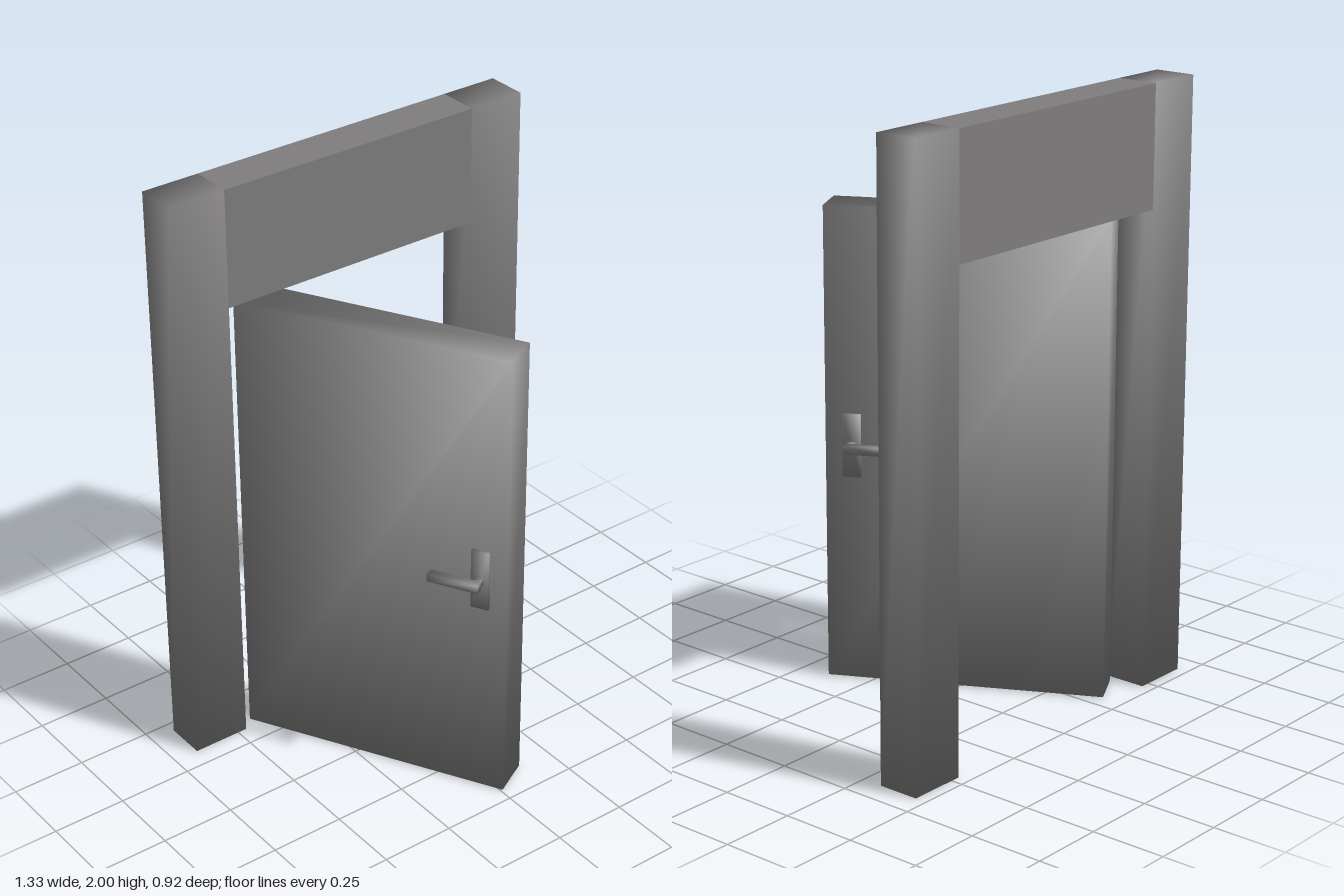
import * as THREE from 'three';

const grey = new THREE.MeshStandardMaterial({ color: 0x7f7d7d });
grey.name = 'grey';

// Box given by its limits; soft boxes share one averaged normal at each corner
function box(name, [x0, x1], [y0, y1], [z0, z1], soft = true) {
  const geometry = new THREE.BoxGeometry(x1 - x0, y1 - y0, z1 - z0);
  if (soft) {
    const p = geometry.attributes.position;
    const k = 1 / Math.sqrt(3);
    for (let i = 0; i < p.count; i++) {
      geometry.attributes.normal.setXYZ(i,
        Math.sign(p.getX(i)) * k, Math.sign(p.getY(i)) * k, Math.sign(p.getZ(i)) * k);
    }
  }
  const mesh = new THREE.Mesh(geometry, grey);
  mesh.name = name;
  mesh.position.set((x0 + x1) / 2, (y0 + y1) / 2, (z0 + z1) / 2);
  return mesh;
}

// Back plate, stem and lever, built outwards from z = 0
function createHandle(name) {
  const handle = new THREE.Group();
  handle.name = name;
  handle.add(
    box('handlePlate', [-0.03, 0.03], [-0.107, 0.105], [-0.005, 0.01]),
    box('handleStem', [-0.013, 0.013], [-0.013, 0.013], [0.005, 0.04]),
    box('handleLever', [-0.155, 0.016], [-0.014, 0.014], [0.036, 0.064]));
  return handle;
}

export function createModel() {
  const model = new THREE.Group();
  model.name = 'openDoorway';

  // Frame: two posts and the panel above the opening
  const depth = [-0.46, -0.32];
  model.add(
    box('rightPost', [-0.665, -0.468], [0, 2], depth),
    box('leftPost', [0.468, 0.665], [0, 2], depth),
    box('lintel', [-0.468, 0.468], [1.602, 2], depth, false));

  // Door leaf swung open; local x runs from the hinge to the free edge at x = 0
  const door = new THREE.Group();
  door.name = 'door';
  door.position.set(0.0675, 0, 0.4225);
  door.rotation.y = -1.079;
  door.add(box('doorLeaf', [-0.92, 0], [0.003, 1.595], [-0.07, 0.07]));

  // A handle on each face, mirrored through the leaf
  for (const side of [1, -1]) {
    const handle = createHandle(side > 0 ? 'outerHandle' : 'innerHandle');
    handle.position.set(-0.088, 0.808, side * 0.07);
    handle.scale.z = side;
    door.add(handle);
  }
  model.add(door);
  return model;
}
